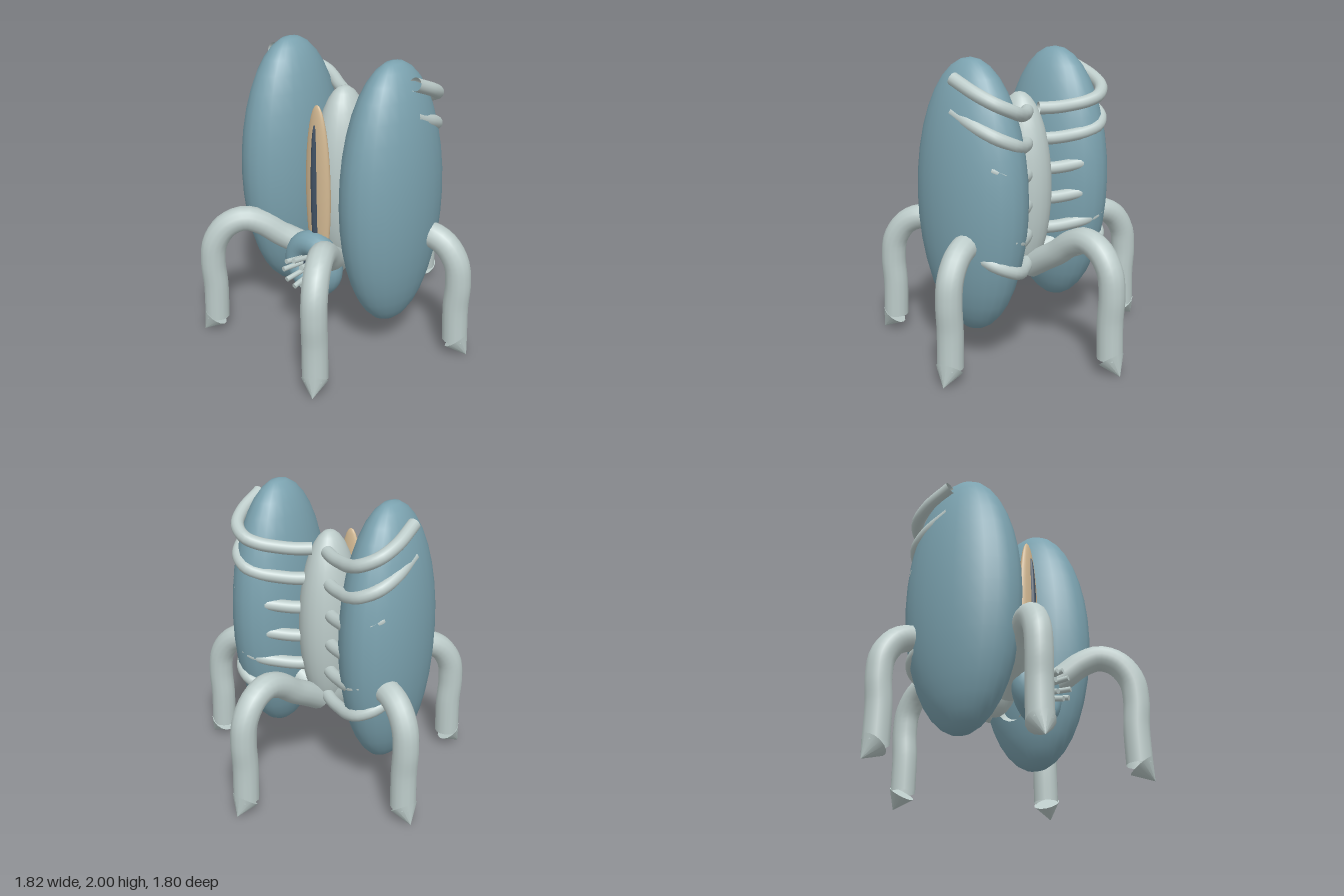
import * as THREE from 'three';

const CX = -0.035; // symmetry plane of the body
const CZ = 0.06;   // hub that the legs radiate from

function mat(name, color, side = THREE.FrontSide) {
  const m = new THREE.MeshStandardMaterial({ color, side });
  m.name = name;
  return m;
}

export function createModel() {
  const blue = mat('dusty blue', 0x7ba2af);
  const pale = mat('pale grey green', 0xbccbc9, THREE.DoubleSide);
  const tan = mat('tan', 0xd2b892);
  const dark = mat('dark slate', 0x3f4f61);

  const model = new THREE.Group();
  model.name = 'creature';

  const add = (name, geometry, material, parent = model) => {
    const mesh = new THREE.Mesh(geometry, material);
    mesh.name = name;
    parent.add(mesh);
    return mesh;
  };

  const ellipsoid = (name, material, [x, y, z], [rx, ry, rz], w = 24, h = 18) => {
    const geometry = new THREE.SphereGeometry(1, w, h);
    geometry.scale(rx, ry, rz);
    const mesh = add(name, geometry, material);
    mesh.position.set(x, y, z);
    return mesh;
  };

  const tube = (points, radius, segments) =>
    new THREE.TubeGeometry(
      new THREE.CatmullRomCurve3(points.map((p) => new THREE.Vector3(...p))),
      segments, radius, 14);

  // Cone or cylinder running from a to b
  const spike = (a, b, r0, r1, sides) => {
    const from = new THREE.Vector3(...a);
    const dir = new THREE.Vector3(...b).sub(from);
    const length = dir.length();
    const geometry = new THREE.CylinderGeometry(r1, r0, length, sides);
    geometry.translate(0, length / 2, 0);
    geometry.applyQuaternion(new THREE.Quaternion().setFromUnitVectors(
      new THREE.Vector3(0, 1, 0), dir.normalize()));
    geometry.translate(from.x, from.y, from.z);
    return geometry;
  };

  // Trunk with its layered front eye
  ellipsoid('trunk', pale, [CX, 1.1, 0.02], [0.187, 0.64, 0.23]);
  ellipsoid('eye', tan, [CX, 1.07, 0.28], [0.102, 0.605, 0.045]);
  ellipsoid('pupil', dark, [CX, 1.05, 0.31], [0.026, 0.5, 0.033], 16, 16);

  // Ring mouth
  add('mouthRing', new THREE.TorusGeometry(0.143, 0.087, 16, 28), blue)
    .position.set(CX, 0.57, 0.335);
  ellipsoid('throat', dark, [CX, 0.57, 0.3], [0.1, 0.1, 0.1], 18, 12);

  const teeth = new THREE.Group();
  teeth.name = 'teeth';
  teeth.position.set(CX, 0.57, 0);
  model.add(teeth);
  for (let i = 0; i < 8; i++) {
    const a = (i * Math.PI) / 4;
    const at = (r, z) => [r * Math.cos(a), r * Math.sin(a), z];
    add('tooth', spike(at(0.062, 0.36), at(0.095, 0.53), 0.018, 0.018, 8), pale, teeth);
  }

  // Side lobes and the ribs that wrap around the back of them
  const ribPath = [
    [0.06, 0, -0.09], [0.15, 0, -0.155], [0.25, 0.01, -0.215], [0.35, 0.03, -0.275],
    [0.44, 0.06, -0.3], [0.54, 0.11, -0.25], [0.59, 0.17, -0.13], [0.595, 0.25, 0.06],
  ];
  for (const side of [1, -1]) {
    const label = side > 0 ? 'left' : 'right';
    ellipsoid(label + 'Lobe', blue, [CX + side * 0.432, 1.1, CZ], [0.265, 0.9, 0.42]);

    const ribs = new THREE.Group();
    ribs.name = label + 'Ribs';
    model.add(ribs);
    const geometry = tube(ribPath.map(([x, y, z]) => [side * x, y, z]), 0.043, 28);
    for (let i = 0; i < 6; i++) {
      add('rib', geometry, pale, ribs).position.set(CX, 1.63 - i * 0.205, 0);
    }
  }

  // Five arched legs evenly spaced around the hub
  const legGeometry = tube([
    [0.15, 0.56, 0], [0.28, 0.64, 0], [0.4, 0.71, 0], [0.53, 0.805, 0], [0.65, 0.845, 0],
    [0.77, 0.8, 0], [0.855, 0.68, 0], [0.875, 0.53, 0], [0.865, 0.35, 0], [0.87, 0.11, 0],
  ], 0.085, 36);
  const clawGeometry = spike([0.882, 0.105, 0], [0.96, 0.003, 0], 0.09, 0, 14);
  for (let i = 0; i < 5; i++) {
    const leg = new THREE.Group();
    leg.name = 'leg';
    leg.position.set(CX, 0, CZ);
    leg.rotation.y = -THREE.MathUtils.degToRad(60 + 72 * i);
    model.add(leg);
    add('limb', legGeometry, pale, leg);
    add('claw', clawGeometry, pale, leg);
  }

  return model;
}
